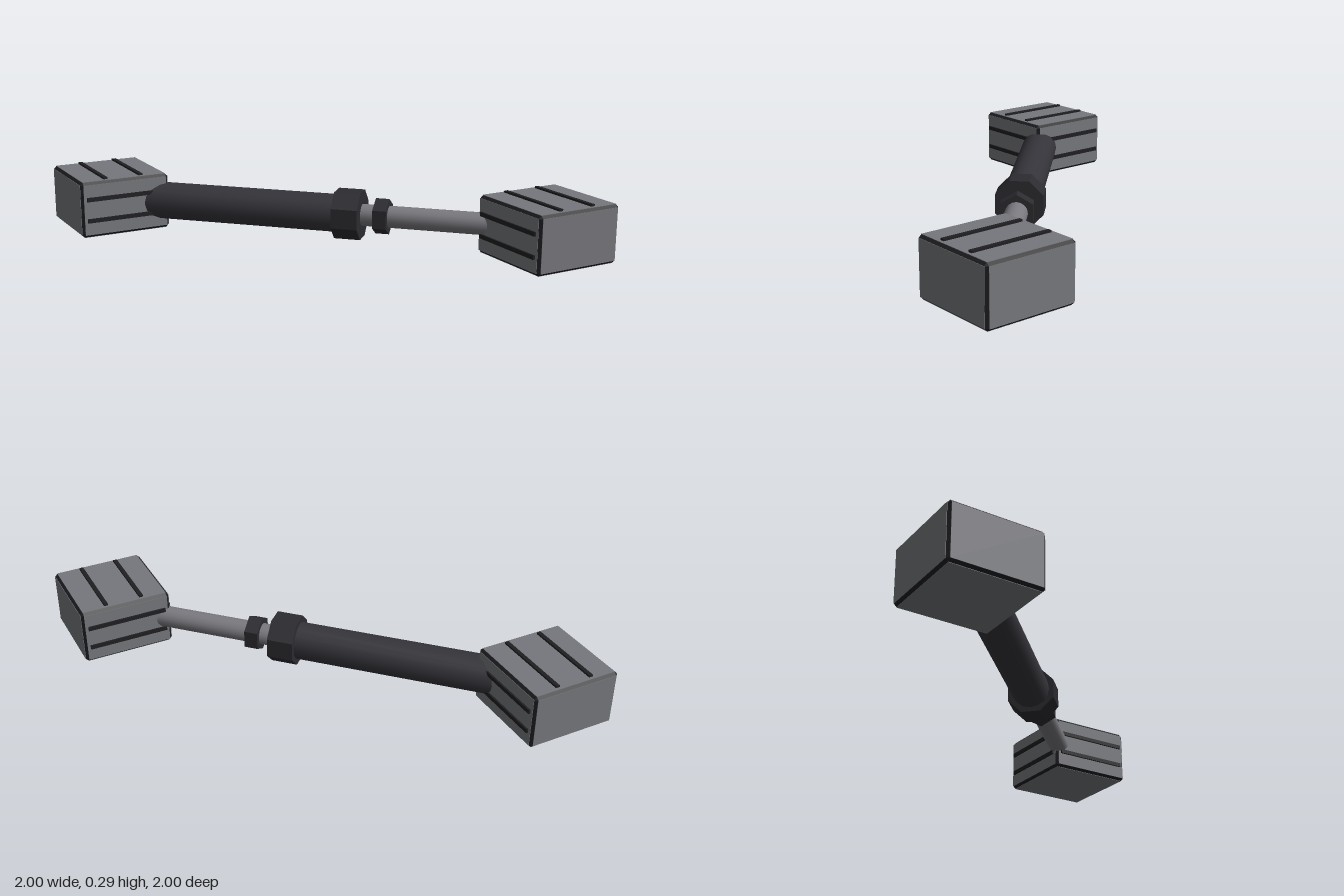
import * as THREE from 'three';
import { toCreasedNormals } from 'three/addons/utils/BufferGeometryUtils.js';
import { ConvexGeometry } from 'three/addons/geometries/ConvexGeometry.js';

const material = (name, color) => {
  const m = new THREE.MeshStandardMaterial({ color });
  m.name = name;
  return m;
};

export function createModel() {
  const panelGrey = material('panel grey', 0x76777c);
  const trimBlack = material('trim black', 0x1f1f22);
  const tubeDark = material('tube dark', 0x35343a);
  const collarDark = material('collar dark', 0x2c2b30);
  const rodGrey = material('rod grey', 0x7a7a80);

  const model = new THREE.Group();
  const AXIS = 0.14;

  const add = (parent, name, geometry, mat, x = 0, y = 0, z = 0) => {
    const mesh = new THREE.Mesh(geometry, mat);
    mesh.name = name;
    mesh.position.set(x, y, z);
    parent.add(mesh);
    return mesh;
  };

  // Box with every edge cut at 45 degrees
  const chamferedBox = (hx, hy, hz, c) => {
    const points = [];
    for (const x of [-1, 1]) for (const y of [-1, 1]) for (const z of [-1, 1]) {
      points.push(
        new THREE.Vector3(x * hx, y * (hy - c), z * (hz - c)),
        new THREE.Vector3(x * (hx - c), y * hy, z * (hz - c)),
        new THREE.Vector3(x * (hx - c), y * (hy - c), z * hz));
    }
    return new ConvexGeometry(points);
  };

  // End block: dark bevelled body, grey face panels, ribs on the top and two inner faces
  const H = 0.226, V = 0.139, C = 0.014;
  const makeBlock = (name) => {
    const block = new THREE.Group();
    block.name = name;
    add(block, 'edgeTrim', chamferedBox(H - 0.001, V - 0.001, H - 0.001, C), trimBlack);
    const w = 2 * (H - C), h = 2 * (V - C), t = 0.004;
    for (const s of [-1, 1]) {
      add(block, 'sidePanel', new THREE.BoxGeometry(t, h, w), panelGrey, s * (H - t / 2), 0, 0);
      add(block, 'levelPanel', new THREE.BoxGeometry(w, t, w), panelGrey, 0, s * (V - t / 2), 0);
      add(block, 'facePanel', new THREE.BoxGeometry(w, h, t), panelGrey, 0, 0, s * (H - t / 2));
      add(block, 'topRib', new THREE.BoxGeometry(0.02, 0.018, 0.395), trimBlack, s * 0.09, V, 0);
      add(block, 'sideRib', new THREE.BoxGeometry(0.018, 0.02, 0.395), trimBlack, H, s * 0.053, 0);
      add(block, 'faceRib', new THREE.BoxGeometry(0.395, 0.02, 0.018), trimBlack, 0, s * 0.053, H);
    }
    model.add(block);
    return block;
  };
  makeBlock('rearBlock').position.set(H - 1, AXIS, H - 1);
  const frontBlock = makeBlock('frontBlock');
  frontBlock.position.set(1 - H, AXIS, 1 - H);
  frontBlock.rotation.y = Math.PI;

  // Telescoping strut on the diagonal between the blocks
  const strut = new THREE.Group();
  strut.name = 'strut';
  strut.position.y = AXIS;
  strut.rotation.y = Math.PI / 4;
  model.add(strut);

  const bar = (name, radius, from, to, sides, mat, turn = 0) => {
    const g = new THREE.CylinderGeometry(radius, radius, to - from, sides, 1, false, turn);
    g.rotateX(Math.PI / 2);
    add(strut, name, toCreasedNormals(g, Math.PI / 6), mat, 0, 0, (from + to) / 2);
  };
  bar('outerTube', 0.092, -1.0, 0.12, 16, tubeDark);
  bar('tubeCollar', 0.123, 0.095, 0.223, 8, collarDark, Math.PI / 8);
  bar('innerRod', 0.053, 0.1, 1.0, 16, rodGrey);
  bar('rodNut', 0.087, 0.288, 0.354, 6, collarDark);

  return model;
}
